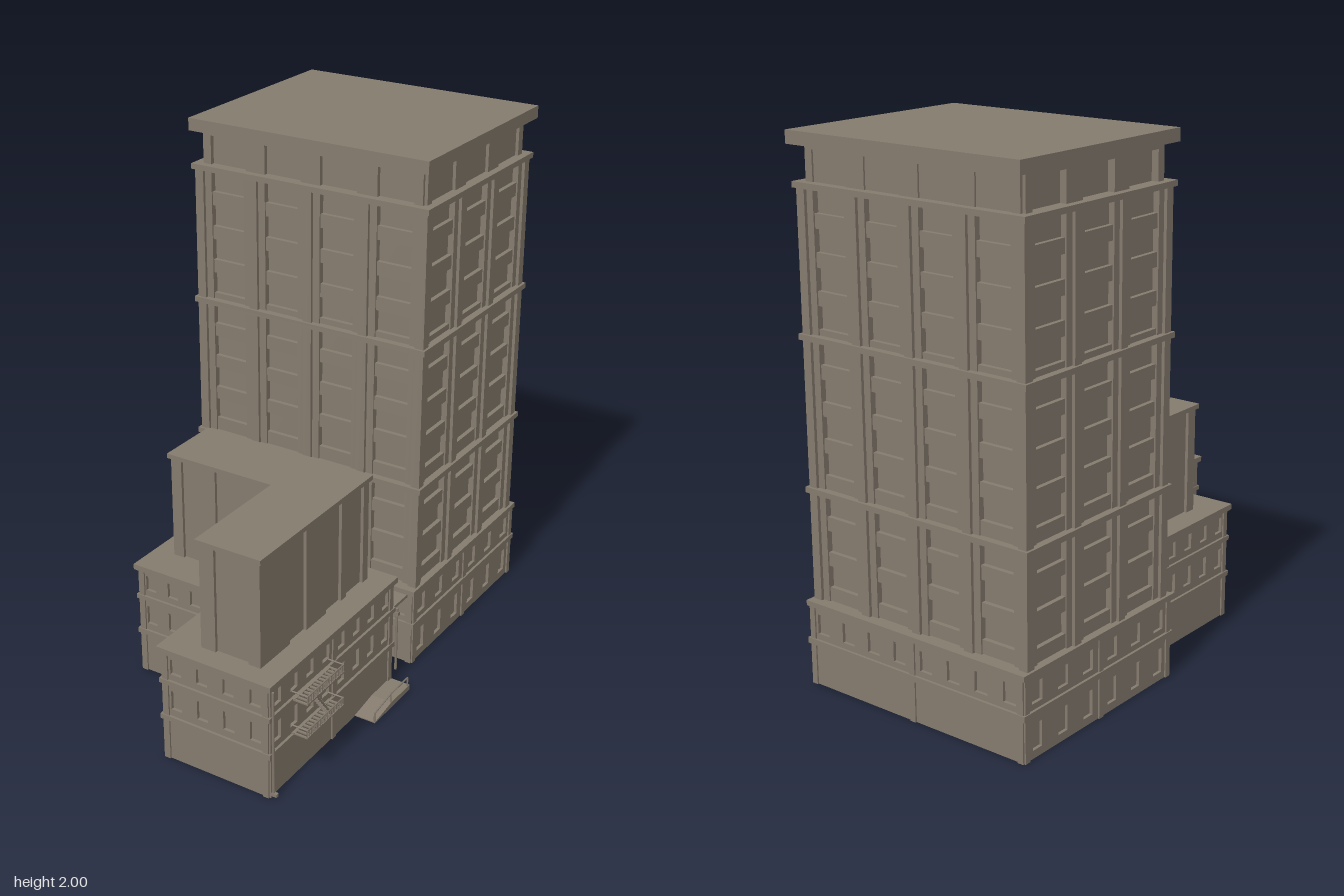
import * as THREE from 'three';

const stone = new THREE.MeshStandardMaterial({ color: 0x867c6f });
stone.name = 'stone';

function add(parent, name, geometry) {
  const mesh = new THREE.Mesh(geometry, stone);
  mesh.name = name;
  parent.add(mesh);
  return mesh;
}

// box between two corners
function block(parent, name, x0, x1, y0, y1, z0, z1) {
  const mesh = add(parent, name, new THREE.BoxGeometry(x1 - x0, y1 - y0, z1 - z0));
  mesh.position.set((x0 + x1) / 2, (y0 + y1) / 2, (z0 + z1) / 2);
  return mesh;
}

// slab with a plan outline of [x, z] points
function planSlab(parent, name, points, y0, y1) {
  const shape = new THREE.Shape(points.map(([x, z]) => new THREE.Vector2(x, -z)));
  const geo = new THREE.ExtrudeGeometry(shape, { depth: y1 - y0, bevelEnabled: false });
  geo.rotateX(-Math.PI / 2).translate(0, y0, 0);
  return add(parent, name, geo);
}

const lPlan = (x0, x1, z0, z1, nx, nz) => [[x0, z0], [x1, z0], [x1, z1], [nx, z1], [nx, nz], [x0, nz]];

// group whose local x runs along the wall and local z points outward
const TURN = { front: 0, right: Math.PI / 2, back: Math.PI, left: -Math.PI / 2 };
const SIGN = { front: 1, right: -1, back: -1, left: 1 };
function facade(parent, name, face, a, b, plane) {
  const g = new THREE.Group();
  g.name = name;
  g.rotation.y = TURN[face];
  if (face === 'front' || face === 'back') g.position.z = plane;
  else g.position.x = plane;
  parent.add(g);
  const s = SIGN[face];
  return { g, s, u0: Math.min(a * s, b * s), u1: Math.max(a * s, b * s) };
}

// wall pierced by [u0, u1, y0, y1] openings, each closed by a set-back pane
function piercedWall(g, u0, u1, y0, y1, holes) {
  const rect = (T, a, b, c, d) => new T([[a, c], [b, c], [b, d], [a, d]].map(p => new THREE.Vector2(...p)));
  const shape = rect(THREE.Shape, u0, u1, y0, y1);
  for (const h of holes) {
    shape.holes.push(rect(THREE.Path, ...h));
    block(g, 'windowPane', ...h, -0.03, -0.012);
  }
  add(g, 'wall', new THREE.ExtrudeGeometry(shape, { depth: 0.03, bevelEnabled: false })).position.z = -0.03;
}

// low storey walls with bands, pilasters and rows of openings
function lowWall(parent, name, face, a, b, plane, top, bands, rows, bays) {
  const { g, u0, u1 } = facade(parent, name, face, a, b, plane);
  const holes = [];
  for (const [y0, y1, n, w] of rows) {
    for (let i = 0; i < n; i++) {
      const c = u0 + (u1 - u0) * (i + 0.5) / n;
      holes.push([c - w / 2, c + w / 2, y0, y1]);
    }
  }
  piercedWall(g, u0, u1, 0, top, holes);
  for (const [y0, y1] of bands) block(g, 'band', u0 - 0.01, u1 + 0.01, y0, y1, -0.02, 0.01);
  for (let i = 0; i <= bays; i++) {
    const p = u0 + (u1 - u0 - 0.024) * i / bays;
    block(g, 'pilaster', p, p + 0.024, 0, top, -0.02, 0.006);
  }
}

function buildTower(root) {
  const tower = new THREE.Group();
  tower.name = 'tower';
  root.add(tower);
  const X0 = -0.53, X1 = 0.45, Z0 = -0.89, Z1 = -0.10;
  block(tower, 'core', X0 + 0.035, X1 - 0.035, 0.315, 1.82, Z0 + 0.035, Z1 - 0.035);
  block(tower, 'atticCore', -0.485, 0.42, 1.8, 1.96, -0.865, -0.135);
  block(tower, 'roofCap', -0.54, 0.46, 1.953, 2, -0.92, -0.08);
  for (const y of [0.725, 1.28, 1.805]) {
    block(tower, 'beltCourse', X0 - 0.01, X1 + 0.01, y, y + 0.021, Z0 - 0.01, Z1 + 0.01);
  }
  block(tower, 'baseLedge', -0.54, 0.46, 0.302, 0.322, -0.92, -0.07);

  const sides = [['front', X0, X1, Z1, 4], ['back', X0, X1, Z0, 4], ['right', Z0, Z1, X1, 3], ['left', Z0, Z1, X0, 3]];
  for (const [face, a, b, plane, n] of sides) {
    const { g, u0, u1 } = facade(tower, face + 'TowerWall', face, a, b, plane);
    const pw = 0.036, pitch = (u1 - u0 - pw) / n;
    for (let i = 0; i <= n; i++) {
      block(g, 'pier', u0 + i * pitch, u0 + i * pitch + pw, 0.32, 1.81, -0.036, 0);
    }
    for (let i = 0; i < n; i++) {
      const l = u0 + pw + i * pitch, r = u0 + (i + 1) * pitch;
      block(g, 'jamb', l, l + 0.029, 0.32, 1.81, -0.036, -0.012);
      block(g, 'jamb', r - 0.029, r, 0.32, 1.81, -0.036, -0.012);
      // spandrels between the windows, four storeys per section
      for (const [top, floors] of [[1.805, 4], [1.28, 4], [0.725, 3]]) {
        for (let k = 0; k < floors; k++) {
          const y = top - 0.083 - k * 0.133;
          block(g, 'spandrel', l + 0.029, r - 0.029, y - 0.052, y, -0.036, -0.018);
        }
      }
      // attic windows sit between these blocks
      block(g, 'atticPier', l - pw - 0.001 + (i ? -0.02 : 0.03), l + 0.025, 1.826, 1.954, -0.06, -0.018);
    }
    block(g, 'atticPier', u1 - pw - 0.028, u1 - 0.03, 1.826, 1.954, -0.06, -0.018);
    block(g, 'atticFrieze', u0 + 0.03, u1 - 0.03, 1.935, 1.954, -0.06, -0.018);
  }

  // hollow base
  const bands = [[0.156, 0.178], [0.302, 0.322]];
  const up = n => [0.2, 0.275, n, 0.055], door = n => [0.03, 0.125, n, 0.05];
  lowWall(tower, 'frontBase', 'front', -0.53, 0.45, -0.08, 0.31, bands, [up(8)], 2);
  lowWall(tower, 'backBase', 'back', -0.53, 0.45, -0.91, 0.31, bands, [up(8)], 2);
  lowWall(tower, 'rightBase', 'right', -0.91, -0.08, 0.45, 0.31, bands, [up(6), door(6)], 2);
  lowWall(tower, 'leftBase', 'left', -0.91, -0.08, -0.53, 0.31, bands, [up(6), door(6)], 2);
}

function buildPodium(root) {
  const podium = new THREE.Group();
  podium.name = 'podium';
  root.add(podium);
  planSlab(podium, 'upperFloors', lPlan(-0.375, 0.43, 0.1, 0.88, 0.03, 0.48), 0.158, 0.45);
  planSlab(podium, 'roof', lPlan(-0.41, 0.465, 0.065, 0.915, -0.005, 0.515), 0.438, 0.46);
  const bands = [[0.163, 0.183], [0.313, 0.331]];
  const rows = n => [[0.355, 0.415, n, 0.045], [0.21, 0.285, n, 0.045]];
  const walls = [
    ['front', 0.01, 0.45, 0.9, 4, 1], ['front', -0.395, 0.01, 0.5, 4, 1],
    ['left', 0.5, 0.9, 0.01, 4, 1], ['left', 0.08, 0.5, -0.395, 4, 1],
    ['right', 0.08, 0.9, 0.45, 8, 2], ['back', -0.395, 0.45, 0.08, 8, 2],
  ];
  for (const [face, a, b, plane, n, bays] of walls) {
    lowWall(podium, face + 'PodiumWall', face, a, b, plane, 0.44, bands, rows(n), bays);
  }

  // upper block with raised wall strips
  const pent = new THREE.Group();
  pent.name = 'upperBlock';
  root.add(pent);
  planSlab(pent, 'upperBlockCore', lPlan(-0.313, 0.363, 0.147, 0.823, 0.142, 0.363), 0.455, 0.875);
  planSlab(pent, 'upperBlockRoof', lPlan(-0.335, 0.385, 0.125, 0.845, 0.12, 0.385), 0.867, 0.885);
  const strips = [
    ['front', 0.835, [[0.13, 0.19], [0.325, 0.375]]],
    ['front', 0.375, [[-0.325, -0.28], [-0.2, -0.13], [-0.06, 0.095]]],
    ['right', 0.375, [[0.135, 0.17], [0.285, 0.32], [0.42, 0.55], [0.655, 0.835]]],
    ['left', 0.13, [[0.375, 0.44], [0.55, 0.65], [0.77, 0.835]]],
    ['left', -0.325, [[0.135, 0.18], [0.33, 0.375]]],
    ['back', 0.135, [[-0.325, -0.28], [-0.2, -0.13], [-0.06, 0.095], [0.19, 0.25], [0.325, 0.375]]],
  ];
  for (const [face, plane, spans] of strips) {
    for (const [a, b] of spans) {
      const f = facade(pent, 'wallStrip', face, a, b, plane);
      block(f.g, 'strip', f.u0, f.u1, 0.455, 0.87, -0.013, 0);
    }
  }
}

// slim bar between two points
function bar(parent, name, a, b, r = 0.003) {
  const p = new THREE.Vector3(...a), q = new THREE.Vector3(...b);
  const mesh = add(parent, name, new THREE.CylinderGeometry(r, r, p.distanceTo(q), 6));
  mesh.position.copy(p).add(q).multiplyScalar(0.5);
  mesh.quaternion.setFromUnitVectors(new THREE.Vector3(0, 1, 0), q.sub(p).normalize());
}

function buildFireEscape(root) {
  const g = new THREE.Group();
  g.name = 'fireEscape';
  root.add(g);
  const x0 = 0.455, x1 = 0.52, z0 = 0.53, z1 = 0.768;
  for (const y of [0.187, 0.325]) {
    block(g, 'landingEdge', x1 - 0.006, x1, y, y + 0.006, z0, z1);
    block(g, 'landingEdge', x0, x0 + 0.012, y, y + 0.006, z0, z1);
    for (let i = 0; i <= 12; i++) {
      const z = z0 + (z1 - z0 - 0.008) * i / 12;
      block(g, 'slat', x0, x1, y, y + 0.005, z, z + 0.008);
    }
    for (let i = 0; i <= 20; i++) {
      const z = z0 + 0.003 + (z1 - z0 - 0.006) * i / 20;
      bar(g, 'baluster', [x1 - 0.003, y, z], [x1 - 0.003, y + 0.034, z], 0.0025);
    }
    bar(g, 'handrail', [x1 - 0.003, y + 0.034, z0], [x1 - 0.003, y + 0.034, z1]);
    for (const z of [z0 + 0.003, z1 - 0.003]) bar(g, 'endRail', [x0, y + 0.034, z], [x1, y + 0.034, z]);
  }
  for (const x of [0.482, 0.512]) bar(g, 'stairStringer', [x, 0.325, 0.70], [x, 0.192, 0.60], 0.004);
  for (let i = 0; i < 9; i++) {
    const t = (i + 0.5) / 9, y = 0.325 - 0.133 * t, z = 0.70 - 0.1 * t;
    block(g, 'tread', 0.482, 0.512, y - 0.002, y + 0.002, z - 0.007, z + 0.007);
  }
}

function buildExtras(root) {
  // covered passage between the two buildings
  block(root, 'passageRoof', 0.02, 0.43, 0.29, 0.302, -0.09, 0.09);
  bar(root, 'passagePost', [0.437, 0.02, 0.016], [0.437, 0.29, 0.016], 0.005);
  block(root, 'postHead', 0.428, 0.446, 0.262, 0.276, 0.008, 0.024);
  // corner downpipe
  bar(root, 'downpipe', [0.462, 0.015, 0.893], [0.462, 0.43, 0.893], 0.005);
  block(root, 'pipeFoot', 0.455, 0.478, 0.01, 0.022, 0.886, 0.9);

  // entrance ramp with a landing and handrail
  const ramp = new THREE.Group();
  ramp.name = 'ramp';
  root.add(ramp);
  const side = new THREE.Shape([[-0.335, 0], [-0.08, 0], [-0.08, 0.022], [-0.215, 0.022], [-0.335, 0.004]].map(p => new THREE.Vector2(...p)));
  const geo = new THREE.ExtrudeGeometry(side, { depth: 0.088, bevelEnabled: false });
  geo.rotateY(Math.PI / 2).translate(0.447, 0, 0);
  add(ramp, 'rampBase', geo);
  const x = 0.531;
  bar(ramp, 'rail', [x, 0.04, 0.332], [x, 0.058, 0.215]);
  bar(ramp, 'rail', [x, 0.058, 0.215], [x, 0.058, 0.09]);
  for (const [z, y] of [[0.332, 0.04], [0.215, 0.058], [0.09, 0.058]]) bar(ramp, 'railPost', [x, 0, z], [x, y, z]);
}

export function createModel() {
  const root = new THREE.Group();
  root.name = 'building';
  buildTower(root);
  buildPodium(root);
  buildFireEscape(root);
  buildExtras(root);
  return root;
}
